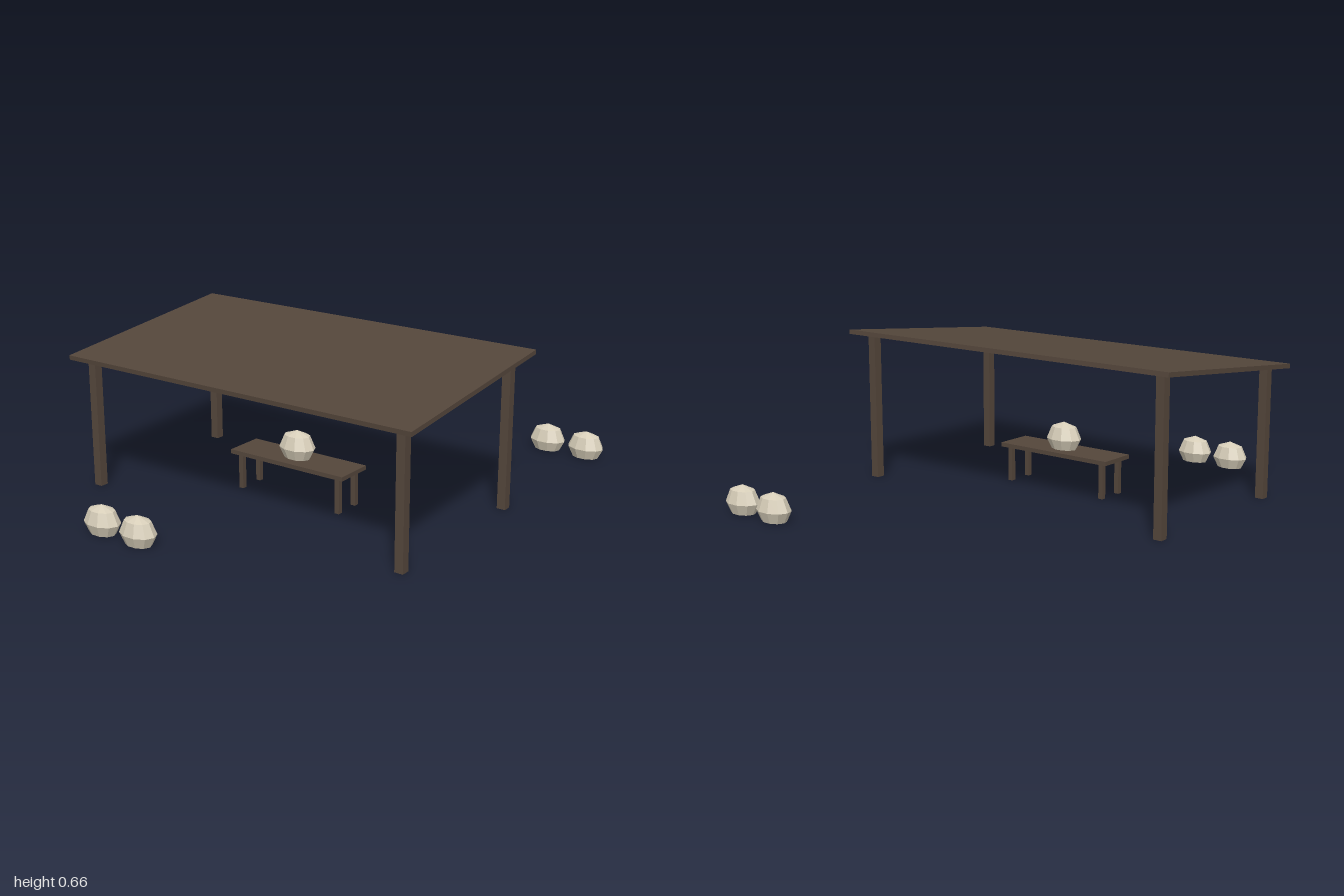
import * as THREE from 'three';

const wood = new THREE.MeshStandardMaterial({ color: 0x54463b });
wood.name = 'darkWood';
const canvas = new THREE.MeshStandardMaterial({ color: 0xd6cdb8, flatShading: true });
canvas.name = 'paleCanvas';

export function createModel() {
  const model = new THREE.Group();
  model.name = 'openShelter';

  const addBox = (parent, name, w, h, d, x, y, z) => {
    const mesh = new THREE.Mesh(new THREE.BoxGeometry(w, h, d), wood);
    mesh.name = name;
    mesh.position.set(x, y, z);
    parent.add(mesh);
    return mesh;
  };

  // Sloping roof, higher at the back
  const roof = addBox(model, 'roof', 1.66, 0.019, 0.908, -0.006, 0.605, 0.189);
  roof.rotation.x = 0.1;

  // Corner posts
  for (const x of [-0.762, 0.748]) {
    for (const [z, h] of [[0.571, 0.563], [-0.187, 0.64]]) {
      addBox(model, z > 0 ? 'frontPost' : 'backPost', 0.037, h, 0.037, x, h / 2, z);
    }
  }

  // Table under the roof
  const table = new THREE.Group();
  table.name = 'table';
  model.add(table);
  addBox(table, 'tableTop', 0.566, 0.018, 0.168, -0.007, 0.16, 0.192);
  for (const x of [-0.252, 0.239]) {
    for (const z of [0.136, 0.249]) addBox(table, 'tableLeg', 0.021, 0.153, 0.021, x, 0.0765, z);
  }

  // Faceted sacks with flattened bottoms
  const profile = [[0, 0], [0.059, 0], [0.083, 0.045], [0.059, 0.097], [0, 0.118]]
    .map(([r, y]) => new THREE.Vector2(r, y));
  const sackShape = new THREE.LatheGeometry(profile, 10);
  sackShape.rotateY(Math.PI / 2);
  sackShape.scale(1, 1, 0.7);
  const spots = [
    [-0.384, 0, 0.944], [-0.196, 0, 0.944],
    [0.56, 0, -0.944], [0.748, 0, -0.944],
    [-0.007, 0.169, 0.192],
  ];
  for (const [x, y, z] of spots) {
    const sack = new THREE.Mesh(sackShape, canvas);
    sack.name = y > 0 ? 'tableSack' : 'groundSack';
    sack.position.set(x, y, z);
    model.add(sack);
  }

  return model;
}
